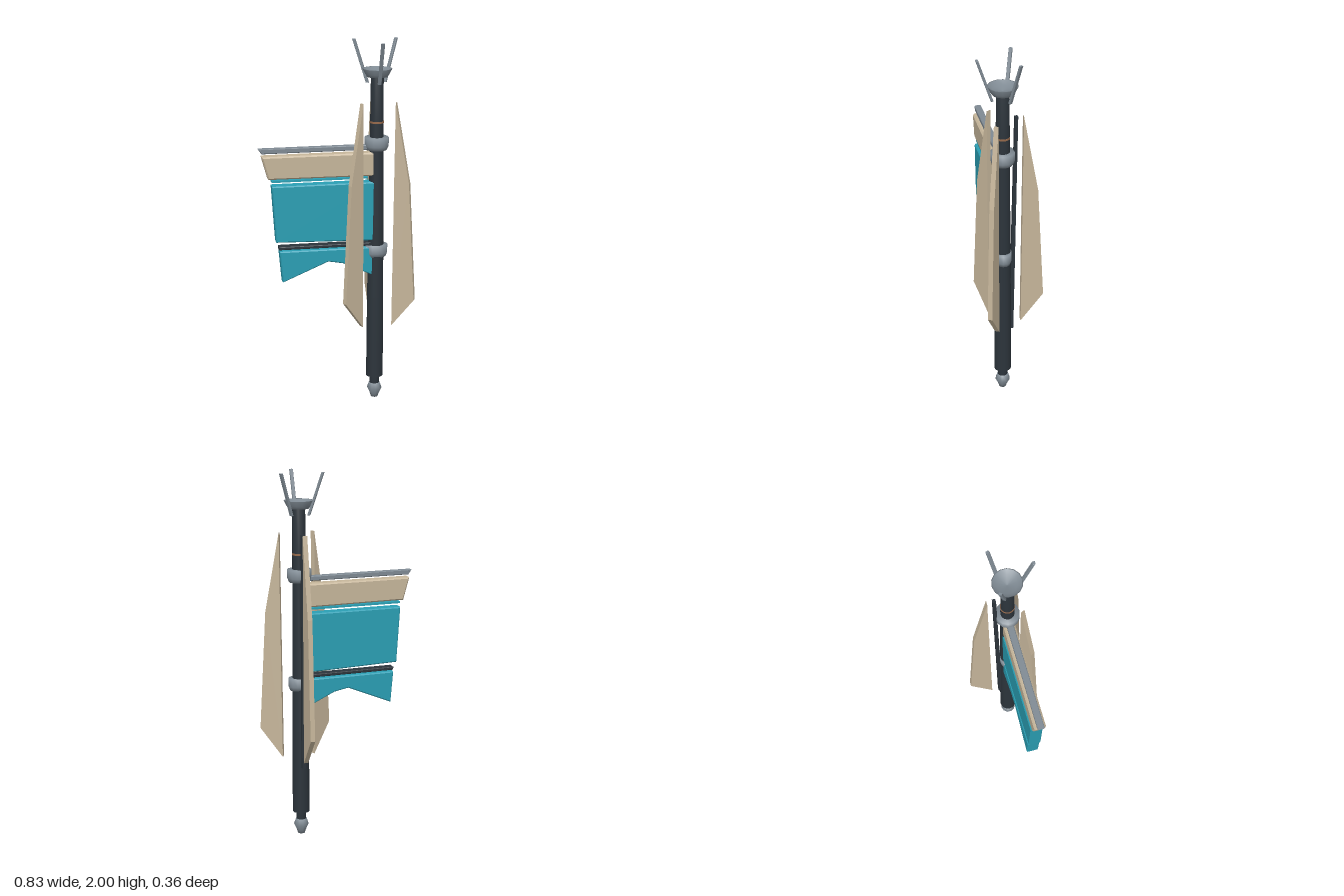
import * as THREE from 'three';

const mat = (name, color, side = THREE.FrontSide) => {
  const m = new THREE.MeshStandardMaterial({ color, side });
  m.name = name;
  return m;
};

export function createModel() {
  const beige = mat('beige', 0xc6b69b);
  const teal = mat('teal', 0x2a9fb4);
  const dark = mat('dark steel', 0x2c343b);
  const grey = mat('grey metal', 0x7f8a93, THREE.DoubleSide);
  const copper = mat('copper', 0x96694a);

  const model = new THREE.Group();
  const staff = new THREE.Group();
  staff.name = 'staff';
  staff.position.set(0.215, 0, 0.04);
  model.add(staff);

  const add = (name, geometry, material, parent = staff) => {
    const mesh = new THREE.Mesh(geometry, material);
    mesh.name = name;
    parent.add(mesh);
    return mesh;
  };
  const lathe = (points, sides) =>
    new THREE.LatheGeometry(points.map(([r, y]) => new THREE.Vector2(r, y)), sides);
  // Flat outline with thickness centred on z = 0
  const slab = (points, depth, bevel = 0) => {
    const shape = new THREE.Shape(points.map(([x, y]) => new THREE.Vector2(x, y)));
    const g = new THREE.ExtrudeGeometry(shape, {
      depth: depth - 2 * bevel, bevelEnabled: bevel > 0, bevelSize: bevel,
      bevelOffset: -bevel, bevelThickness: bevel, bevelSegments: 1,
    });
    return g.translate(0, 0, -depth / 2 + bevel);
  };
  // Pivot whose local +x points outward at the given angle
  const spoke = (name, degrees) => {
    const g = new THREE.Group();
    g.name = name;
    g.rotation.y = THREE.MathUtils.degToRad(degrees);
    staff.add(g);
    return g;
  };

  // Pole
  add('pole', lathe([[0, 0.13], [0.047, 0.13], [0.047, 0.13], [0.045, 0.6],
    [0.041, 1.0], [0.036, 1.56], [0.034, 1.82], [0, 1.82]], 16), dark);
  add('neck', new THREE.CylinderGeometry(0.027, 0.027, 0.06, 12).translate(0, 0.108, 0), dark);
  add('copperRing', new THREE.CylinderGeometry(0.038, 0.038, 0.01, 16).translate(0, 1.57, 0), copper);
  add('finial', lathe([[0, 0], [0.02, 0], [0.025, 0.018], [0.041, 0.052],
    [0.03, 0.085], [0, 0.085]], 10), grey);

  // Collars
  for (const [y, depthScale] of [[1.455, 0.98], [0.862, 0.74]]) {
    const collar = add('collar', lathe([[0, -0.034], [0.055, -0.034], [0.064, -0.012],
      [0.064, 0.034], [0, 0.034]], 14), grey);
    collar.position.y = y;
    collar.scale.z = depthScale;
  }

  // Hollow cup with three splayed prongs
  add('cup', lathe([[0, 1.805], [0.055, 1.81], [0.064, 1.825], [0.078, 1.852],
    [0.073, 1.852], [0.05, 1.834], [0, 1.824]], 14), grey);
  for (const angle of [-90, 30, 150]) {
    add('prong', slab([[0.047, 1.775], [0.061, 1.775], [0.137, 2], [0.123, 2]], 0.018, 0.002),
      grey, spoke('prongMount', angle));
  }

  // Three blades standing off the pole
  const blade = [[0.098, 0.44], [0.222, 0.6], [0.185, 1.25], [0.106, 1.68]];
  for (const angle of [90, -30, 210]) {
    add('fin', slab(blade, 0.025), beige, spoke('finMount', angle));
  }

  // Dark rail along the back of the pole
  add('rail', slab([[0.036, 0.395], [0.058, 0.395], [0.077, 1.68], [0.06, 1.68]], 0.02),
    dark, spoke('railMount', 90));

  // Banner hanging to the right of the pole
  const banner = new THREE.Group();
  banner.name = 'banner';
  banner.position.z = 0.04;
  model.add(banner);
  add('bannerRod', slab([[-0.4, 1.424], [0.2, 1.424], [0.2, 1.45], [-0.418, 1.45]], 0.036, 0.004),
    grey, banner);
  add('bannerHeader', slab([[-0.368, 1.287], [0.2, 1.283], [0.2, 1.41], [-0.402, 1.41]], 0.062, 0.008),
    beige, banner);
  add('bannerTrim', slab([[-0.35, 1.27], [0.165, 1.27], [0.165, 1.28], [-0.35, 1.28]], 0.05),
    teal, banner);
  add('bannerPanel', slab([[-0.33, 0.942], [0.2, 0.926], [0.2, 1.25], [-0.35, 1.25]], 0.066, 0.006),
    teal, banner);
  add('bannerBar', slab([[-0.315, 0.897], [0.2, 0.895], [0.2, 0.912], [-0.315, 0.914]], 0.05, 0.003),
    dark, banner);
  add('bannerTail', slab([[-0.298, 0.716], [-0.05, 0.82], [0.03, 0.805], [0.2, 0.725],
    [0.2, 0.888], [-0.313, 0.89]], 0.066, 0.006), teal, banner);

  return model;
}
